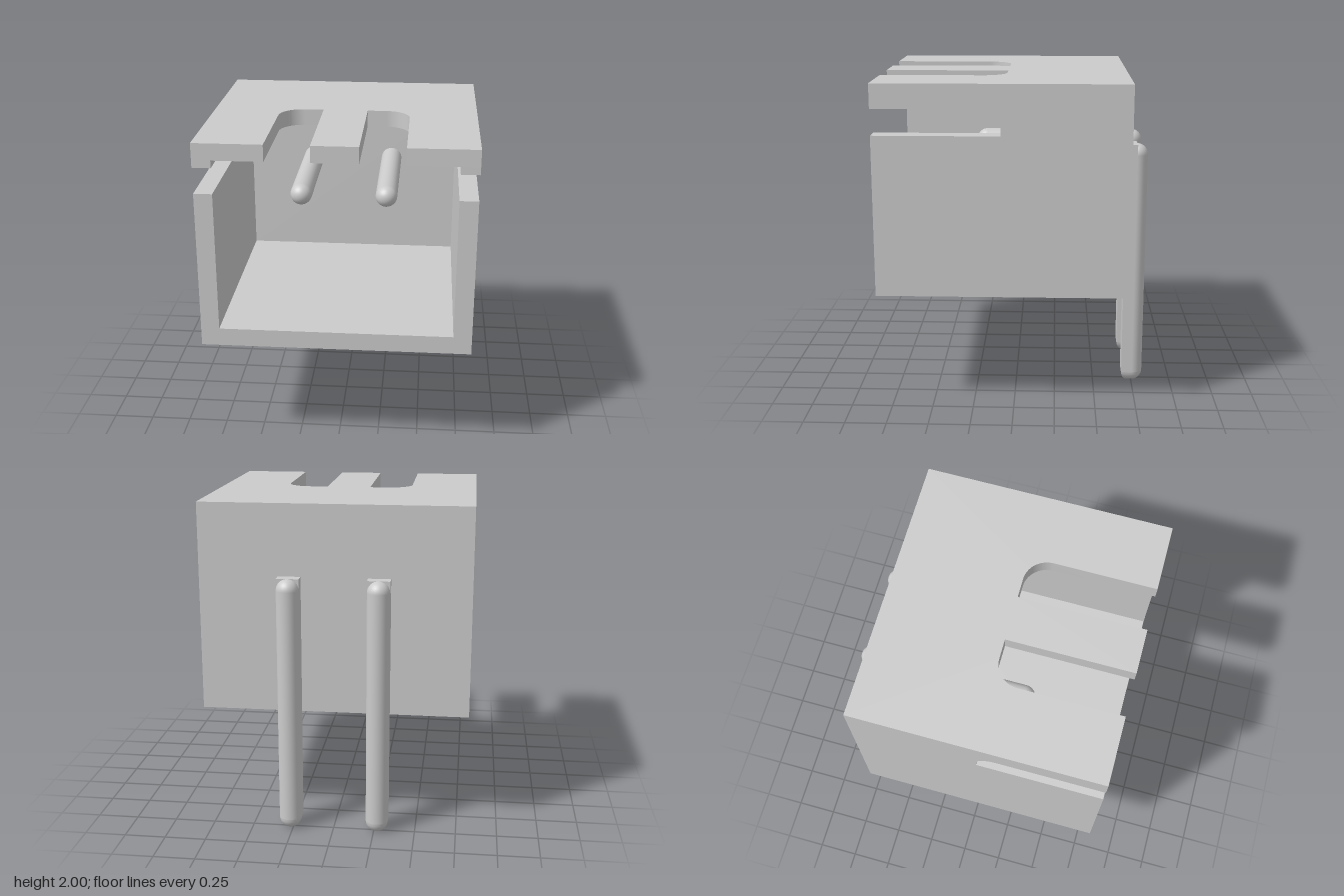
import * as THREE from 'three';
import { toCreasedNormals } from 'three/addons/utils/BufferGeometryUtils.js';

const W = 0.81, INNER = 0.7;           // outer and inner half widths
const BOTTOM = 0.735, TOP = 2, ROOF = 1.9, FLOOR = 0.845;
const BACK = -0.685, FRONT = 0.82, INNER_BACK = -0.58;
const R = 0.068, PIN_X = 0.267, PIN_Y = 1.5, PIN_Z = -0.752;

const material = new THREE.MeshStandardMaterial({ color: 0xcccccc });

function add(parent, name, geometry, x = 0, y = 0, z = 0) {
  const mesh = new THREE.Mesh(geometry, material);
  mesh.name = name;
  mesh.position.set(x, y, z);
  parent.add(mesh);
  return mesh;
}

// Box given by its minimum and maximum corners
function addBox(parent, name, [x0, y0, z0], [x1, y1, z1]) {
  add(parent, name, new THREE.BoxGeometry(x1 - x0, y1 - y0, z1 - z0),
    (x0 + x1) / 2, (y0 + y1) / 2, (z0 + z1) / 2);
}

function extrude(shape, depth) {
  const g = new THREE.ExtrudeGeometry(shape, { depth, bevelEnabled: false, curveSegments: 10 });
  return toCreasedNormals(g, 0.6);
}

// Roof with two slots open to the front, each with a rounded outer corner
function roofGeometry() {
  const a = 0.137, b = 0.4, end = 0.055, r = 0.145;
  const s = new THREE.Shape();
  s.moveTo(-W, BACK);
  s.lineTo(W, BACK);
  s.lineTo(W, FRONT);
  s.lineTo(b, FRONT);
  s.lineTo(b, end + r);
  s.absarc(b - r, end + r, r, 0, -Math.PI / 2, true);
  s.lineTo(a, end);
  s.lineTo(a, FRONT);
  s.lineTo(-a, FRONT);
  s.lineTo(-a, end);
  s.lineTo(-b + r, end);
  s.absarc(-b + r, end + r, r, -Math.PI / 2, -Math.PI, true);
  s.lineTo(-b, FRONT);
  s.lineTo(-W, FRONT);
  s.closePath();
  return extrude(s, TOP - ROOF).rotateX(Math.PI / 2);
}

// Side wall drawn in (z, y), with a slot rounded at its upper inner corner
function sideGeometry() {
  const low = 1.7, high = 1.855, end = 0.07, r = 0.12;
  const s = new THREE.Shape();
  s.moveTo(BACK, BOTTOM);
  s.lineTo(FRONT, BOTTOM);
  s.lineTo(FRONT, low);
  s.lineTo(end, low);
  s.lineTo(end, high - r);
  s.absarc(end + r, high - r, r, Math.PI, Math.PI / 2, true);
  s.lineTo(FRONT, high);
  s.lineTo(FRONT, ROOF);
  s.lineTo(BACK, ROOF);
  s.closePath();
  return extrude(s, W - INNER).rotateY(-Math.PI / 2);
}

// Lower dome whose front half is squared off to meet the flat pin faces
function footGeometry() {
  const g = new THREE.SphereGeometry(R, 24, 8, 0, Math.PI * 2, Math.PI / 2, Math.PI / 2);
  const p = g.attributes.position;
  for (let i = 0; i < p.count; i++) {
    const x = p.getX(i), z = p.getZ(i);
    const m = Math.max(Math.abs(x), Math.abs(z));
    if (z <= 1e-6 || m < 1e-6) continue;
    const k = Math.hypot(x, z) / m;
    p.setX(i, x * k);
    p.setZ(i, z * k);
  }
  return toCreasedNormals(g, 0.7);
}

function createPin(x) {
  const pin = new THREE.Group();
  pin.position.x = x;

  // Contact inside the housing, with a round tip
  const tipZ = 0.28 - R, length = tipZ - PIN_Z;
  add(pin, 'contact', new THREE.CylinderGeometry(R, R, length, 24, 1, true).rotateX(Math.PI / 2),
    0, PIN_Y, tipZ - length / 2);
  add(pin, 'contactTip',
    new THREE.SphereGeometry(R, 24, 8, 0, Math.PI * 2, 0, Math.PI / 2).rotateX(Math.PI / 2),
    0, PIN_Y, tipZ);

  // Leg: flat front half, round back half
  addBox(pin, 'legFront', [-R, R, PIN_Z], [R, PIN_Y + R, PIN_Z + R]);
  add(pin, 'legBack',
    new THREE.CylinderGeometry(R, R, PIN_Y - R, 16, 1, true, Math.PI / 2, Math.PI),
    0, (PIN_Y + R) / 2, PIN_Z);
  add(pin, 'legFoot', footGeometry(), 0, R, PIN_Z);

  // Rounded elbow at the top of the leg
  add(pin, 'elbow', new THREE.SphereGeometry(R, 24, 16), 0, PIN_Y, PIN_Z);
  return pin;
}

export function createModel() {
  const model = new THREE.Group();
  model.name = 'pinHeader';

  // Housing
  const housing = new THREE.Group();
  housing.name = 'housing';
  add(housing, 'roof', roofGeometry(), 0, TOP, 0);
  add(housing, 'leftWall', sideGeometry(), W, 0, 0);
  add(housing, 'rightWall', sideGeometry(), -INNER, 0, 0);
  addBox(housing, 'floor', [-INNER, BOTTOM, BACK], [INNER, FLOOR, FRONT]);
  addBox(housing, 'backWall', [-INNER, FLOOR, BACK], [INNER, ROOF, INNER_BACK]);
  model.add(housing);

  // Pins
  for (const side of [1, -1]) {
    const pin = createPin(side * PIN_X);
    pin.name = side > 0 ? 'leftPin' : 'rightPin';
    model.add(pin);
  }
  return model;
}
